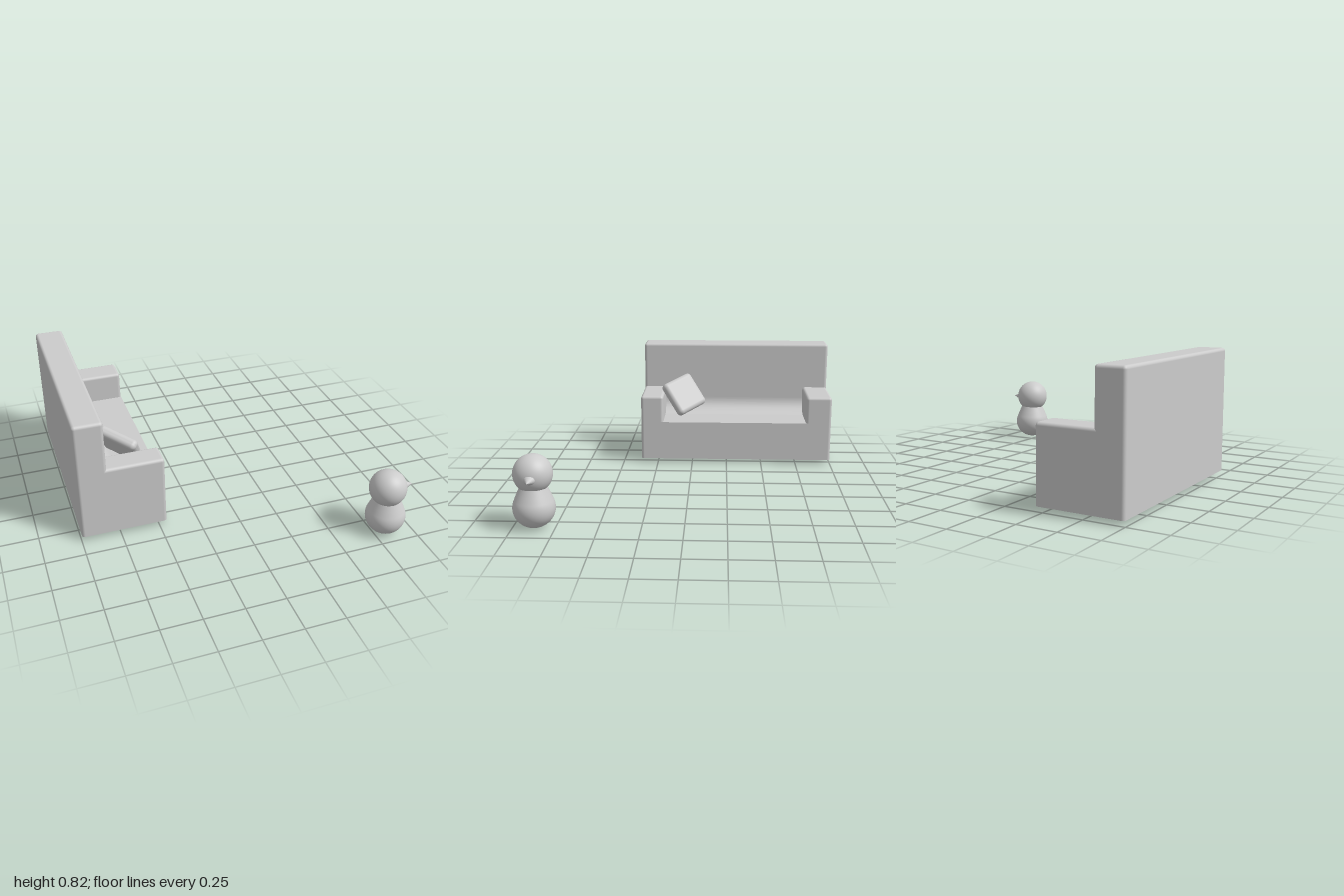
import * as THREE from 'three';
import { RoundedBoxGeometry } from 'three/addons/geometries/RoundedBoxGeometry.js';

const material = new THREE.MeshStandardMaterial({ color: 0xcccccc });
const FLOOR = 0.03;

function addMesh(parent, name, geometry) {
  const mesh = new THREE.Mesh(geometry, material);
  mesh.name = name;
  parent.add(mesh);
  return mesh;
}

// Upholstered block: rounded edges everywhere except a flat, sharp underside
function block(x0, x1, top, z0, z1, r = 0.02) {
  const height = top - FLOOR + r;
  const g = new RoundedBoxGeometry(x1 - x0, height, z1 - z0, 4, r);
  g.translate((x0 + x1) / 2, top - height / 2, (z0 + z1) / 2);
  const p = g.attributes.position, n = g.attributes.normal;
  for (let i = 0; i < p.count; i++) {
    if (p.getY(i) < FLOOR - 1e-4) {
      p.setY(i, FLOOR);
      n.setXYZ(i, 0, -1, 0);
    }
  }
  return g;
}

function createSofa() {
  const sofa = new THREE.Group();
  sofa.name = 'sofa';

  addMesh(sofa, 'backrest', block(-0.995, -0.81, 0.82, -1, 0.37));
  addMesh(sofa, 'leftArm', block(-0.95, -0.45, 0.493, 0.21, 0.37));
  addMesh(sofa, 'rightArm', block(-0.95, -0.45, 0.493, -1, -0.82));

  // Seat with a concave sweep up into the backrest
  const r = 0.11, seatY = 0.303, backX = -0.81;
  const profile = new THREE.Shape();
  profile.moveTo(-0.9, FLOOR);
  profile.lineTo(-0.45, FLOOR);
  profile.lineTo(-0.45, seatY);
  profile.lineTo(backX + r, seatY);
  profile.absarc(backX + r, seatY + r, r, -Math.PI / 2, -Math.PI, true);
  profile.lineTo(-0.9, seatY + r);
  const seat = new THREE.ExtrudeGeometry(profile, { depth: 1.33, bevelEnabled: false, curveSegments: 16 });
  seat.translate(0, 0, -0.98);
  addMesh(sofa, 'seat', seat);

  // Cushion leaning in the corner
  const u = new THREE.Vector3(-0.7, 0.22, -0.67).normalize();
  const n = u.clone().cross(new THREE.Vector3(0.31, -0.82, -0.47)).normalize();
  const v = n.clone().cross(u);
  const cushion = addMesh(sofa, 'cushion', new RoundedBoxGeometry(0.27, 0.26, 0.07, 5, 0.03));
  cushion.quaternion.setFromRotationMatrix(new THREE.Matrix4().makeBasis(u, v, n));
  cushion.position.set(-0.655, 0.465, 0.068);
  return sofa;
}

function createBird() {
  const bird = new THREE.Group();
  bird.name = 'bird';

  // Pear-shaped body: round below, tapering to the neck
  const R = 0.125, points = [];
  for (let i = 0; i <= 20; i++) {
    const a = -Math.PI / 2 + (i / 20) * (Math.PI / 2 + 0.4);
    points.push(new THREE.Vector2(Math.max(0, R * Math.cos(a)), 0.12 + 0.12 * Math.sin(a)));
  }
  points.push(new THREE.Vector2(0.099, 0.205), new THREE.Vector2(0.084, 0.238), new THREE.Vector2(0.078, 0.255));
  addMesh(bird, 'body', new THREE.LatheGeometry(points, 40));

  const head = addMesh(bird, 'head', new THREE.SphereGeometry(0.116, 40, 28));
  head.position.set(-0.004, 0.325, 0);

  // Beak pointing to +x, slightly flattened
  const beak = new THREE.ConeGeometry(0.05, 0.09, 24);
  beak.rotateZ(-Math.PI / 2);
  beak.scale(1, 0.8, 1);
  addMesh(bird, 'beak', beak).position.set(0.122, 0.317, -0.003);

  bird.position.set(0.825, 0, 0.872);
  return bird;
}

export function createModel() {
  const model = new THREE.Group();
  model.name = 'sofaAndBird';
  model.add(createSofa(), createBird());
  return model;
}
